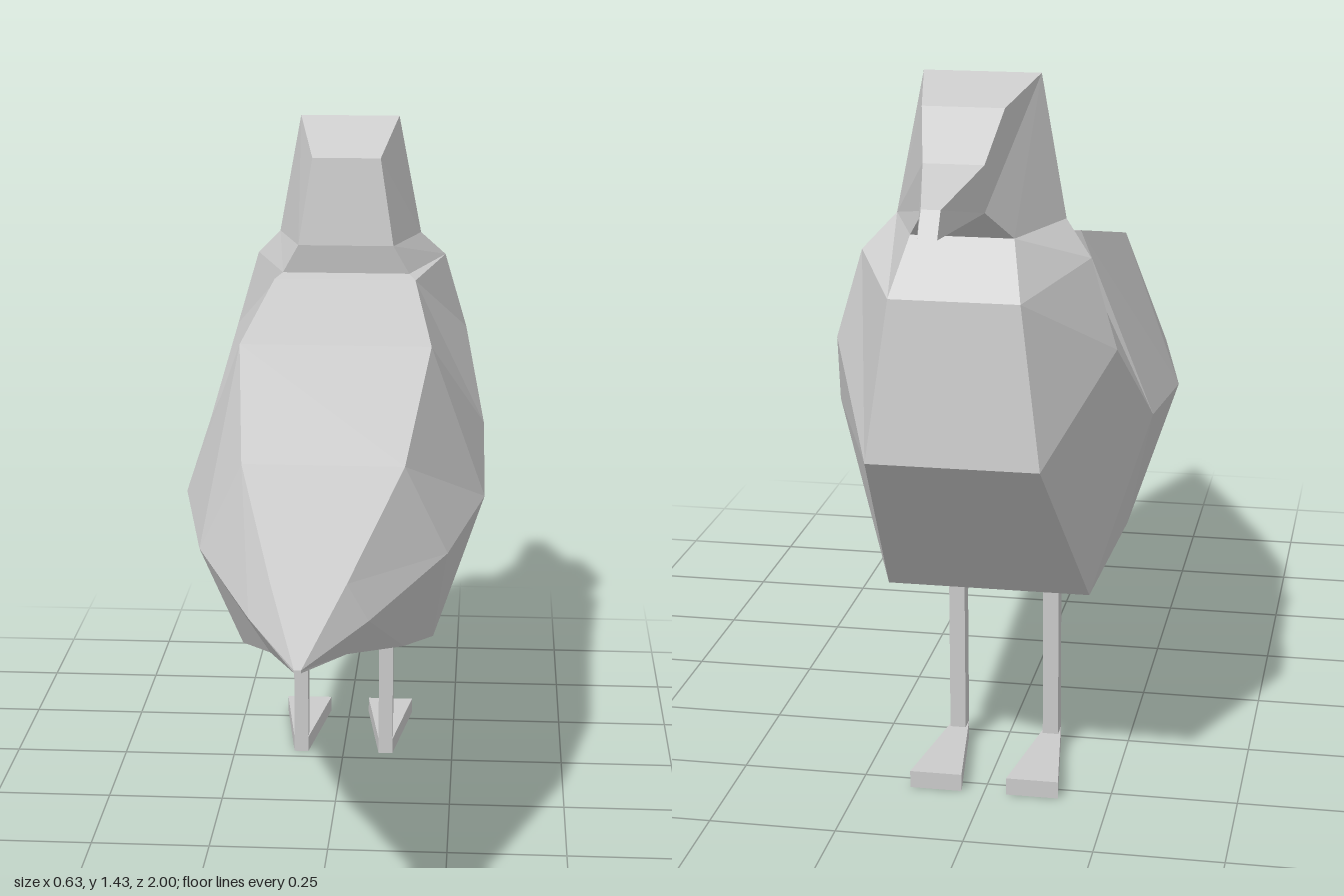
import * as THREE from 'three';

const grey = () => new THREE.MeshStandardMaterial({ color: 0xcccccc, flatShading: true });

// Builds a faceted, mirror-symmetric solid: side faces are given for +x only,
// and the centre loop is bridged straight across to its mirror image.
function mirroredSolid(sideFaces, centreLoop) {
  const pos = [];
  const flip = ([x, y, z]) => [-x, y, z];
  const fan = (f) => {
    for (let i = 1; i < f.length - 1; i++) pos.push(...f[0], ...f[i], ...f[i + 1]);
  };
  for (const f of sideFaces) {
    fan(f);
    fan(f.map(flip).reverse());
  }
  centreLoop.forEach((p, i) => {
    const q = centreLoop[(i + 1) % centreLoop.length];
    fan([p, q, flip(q), flip(p)]);
  });
  const g = new THREE.BufferGeometry();
  g.setAttribute('position', new THREE.Float32BufferAttribute(pos, 3));
  g.computeVertexNormals();
  return g;
}

function birdGeometry() {
  // Long edges of the body, from tail to chest
  const tip = [0.006, 0.68, 1];
  const back = [tip, [0.07, 0.755, 0.75], [0.16, 0.87, 0.37], [0.2, 1.025, 0], [0.155, 1.1, -0.32]];
  const flank = [tip, [0.11, 0.685, 0.75], [0.245, 0.695, 0.37], [0.315, 0.705, 0], [0.31, 0.76, -0.4]];
  const belly = [[0.006, 0.675, 1], [0.07, 0.62, 0.75], [0.16, 0.5, 0.37], [0.21, 0.39, 0], [0.2, 0.41, -0.48]];
  // Chest and shoulder
  const nape = [0.14, 1.107, -0.36], shoulder = [0.215, 1.11, -0.585], wingFront = [0.265, 0.94, -0.59];
  const breast = [0.16, 0.77, -0.82], chest = [0.12, 1.07, -0.79], throat = [0.095, 1.17, -0.71];
  // Neck and head
  const neckBack = [0.105, 1.17, -0.35], neckSide = [0.16, 1.17, -0.53];
  const headBack = [0.075, 1.36, -0.37], crown = [0.11, 1.435, -0.51], brow = [0.075, 1.4, -0.69];
  // Beak
  const beakTop = [0.055, 1.315, -0.78], beakLow = [0.055, 1.23, -0.78];
  const tipTop = [0.017, 1.275, -0.97], tipLow = [0.017, 1.23, -1];

  const sides = [
    [back[4], flank[4], wingFront, shoulder, nape],
    [flank[4], belly[4], breast, wingFront],
    [shoulder, wingFront, breast, chest],
    [neckSide, shoulder, chest, throat],
    [neckBack, nape, shoulder, neckSide],
    [headBack, neckBack, neckSide, crown],
    [neckSide, throat, beakLow, beakTop, brow, crown],
    [beakTop, beakLow, tipLow, tipTop],
  ];
  for (let i = 0; i < 4; i++) {
    sides.push([back[i], flank[i], flank[i + 1], back[i + 1]]);
    sides.push([flank[i], belly[i], belly[i + 1], flank[i + 1]]);
  }
  const loop = [
    ...back, nape, neckBack, headBack, crown, brow, beakTop, tipTop, tipLow,
    beakLow, throat, chest, breast, ...belly.slice().reverse(),
  ];
  return mirroredSolid(sides, loop);
}

function makeLeg(side) {
  const leg = new THREE.Group();
  leg.name = side > 0 ? 'leftLeg' : 'rightLeg';
  leg.position.x = side * 0.097;

  const shank = new THREE.Mesh(new THREE.BoxGeometry(0.032, 0.42, 0.036), grey());
  shank.name = 'shank';
  shank.position.set(0, 0.21, -0.3);

  // Webbed foot widening towards the toes
  const plan = new THREE.Shape([
    new THREE.Vector2(-0.016, 0.282), new THREE.Vector2(0.016, 0.282),
    new THREE.Vector2(0.052, 0.54), new THREE.Vector2(-0.052, 0.54),
  ]);
  const footGeo = new THREE.ExtrudeGeometry(plan, { depth: 0.035, bevelEnabled: false });
  footGeo.rotateX(-Math.PI / 2);
  const foot = new THREE.Mesh(footGeo, grey());
  foot.name = 'foot';

  leg.add(shank, foot);
  return leg;
}

export function createModel() {
  const bird = new THREE.Group();
  bird.name = 'bird';
  const body = new THREE.Mesh(birdGeometry(), grey());
  body.name = 'bodyAndHead';
  bird.add(body, makeLeg(1), makeLeg(-1));
  return bird;
}
